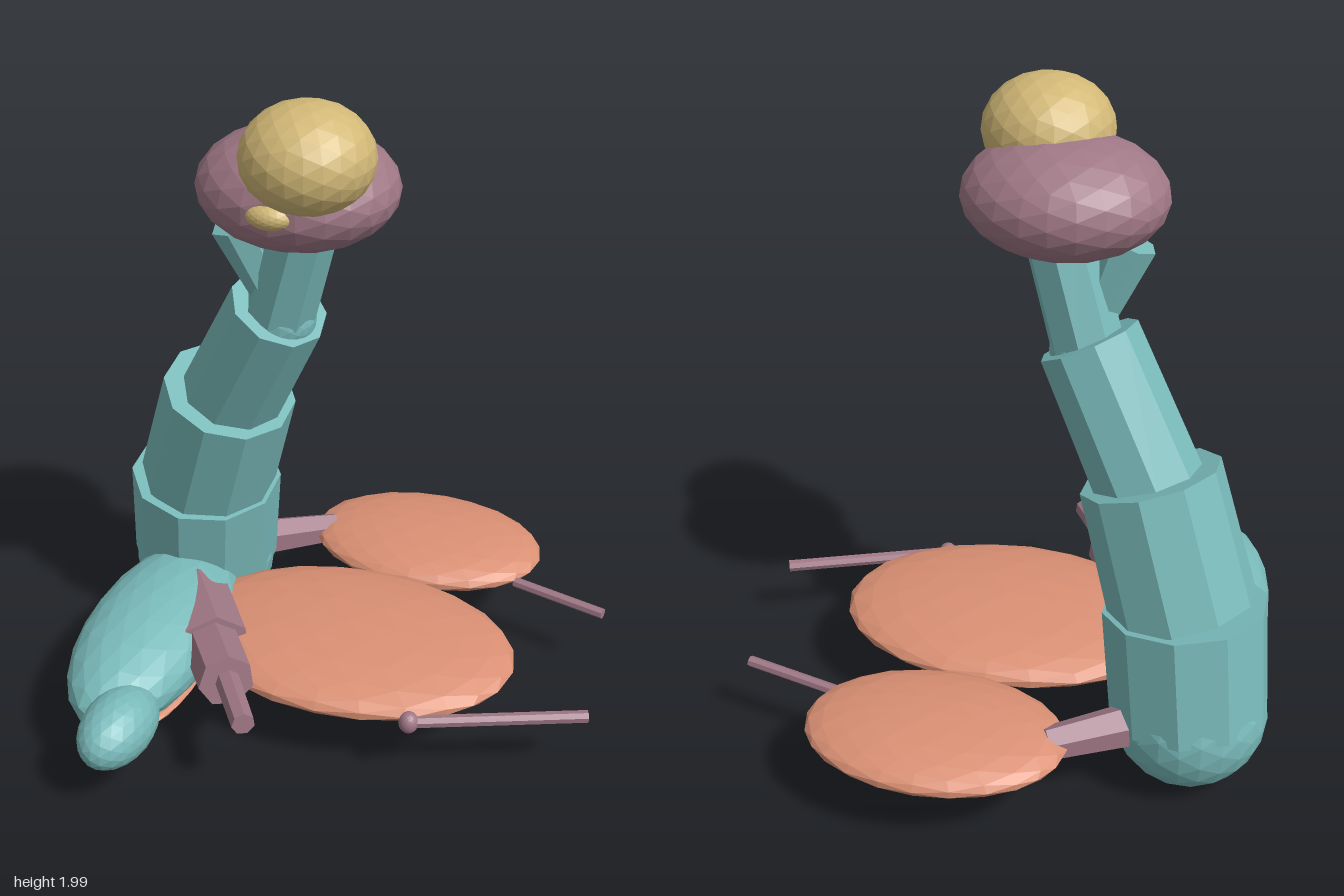
import * as THREE from 'three';

export function createModel() {
  const model = new THREE.Group();
  model.name = 'branchingStem';

  const material = (name, color) => {
    const m = new THREE.MeshStandardMaterial({ color, flatShading: true });
    m.name = name;
    return m;
  };
  const teal = material('teal', 0x7ababa);
  const mauve = material('mauve', 0xa07886);
  const ochre = material('ochre', 0xd2b877);
  const orange = material('orange', 0xda9074);

  const add = (name, geometry, mat) => {
    const mesh = new THREE.Mesh(geometry, mat);
    mesh.name = name;
    model.add(mesh);
    return mesh;
  };

  // faceted ellipsoid with its centre and three radii
  const blob = (name, mat, centre, radii, turn = 0) => {
    const mesh = add(name, new THREE.IcosahedronGeometry(1, 3), mat);
    mesh.scale.set(...radii);
    mesh.rotation.y = turn;
    mesh.position.set(...centre);
    return mesh;
  };

  // faceted limb running from one point to another
  const limb = (name, mat, from, to, r0, r1 = r0, sides = 8) => {
    const a = new THREE.Vector3(...from);
    const b = new THREE.Vector3(...to);
    const dir = b.clone().sub(a);
    const mesh = add(name, new THREE.CylinderGeometry(r1, r0, dir.length(), sides), mat);
    mesh.position.copy(a).add(b).multiplyScalar(0.5);
    mesh.quaternion.setFromUnitVectors(new THREE.Vector3(0, 1, 0), dir.normalize());
    return mesh;
  };

  // leaning trunk of stepped sections on a rounded foot
  blob('trunkFoot', teal, [-0.58, 0.24, -0.275], [0.23, 0.23, 0.23]);
  limb('trunkBase', teal, [-0.58, 0.24, -0.275], [-0.545, 0.58, -0.23], 0.235, 0.24, 10);
  limb('trunkLower', teal, [-0.54, 0.57, -0.232], [-0.42, 0.95, -0.155], 0.215, 0.205, 10);
  limb('trunkMiddle', teal, [-0.42, 0.92, -0.16], [-0.22, 1.31, -0.065], 0.158, 0.147, 9);
  blob('trunkJoint', teal, [-0.21, 1.28, -0.06], [0.1, 0.1, 0.1]);
  limb('trunkUpper', teal, [-0.215, 1.3, -0.06], [-0.115, 1.64, -0.02], 0.105, 0.1, 8);
  limb('trunkFork', teal, [-0.22, 1.33, -0.04], [-0.315, 1.59, -0.005], 0.05, 0.08, 7);

  // crown
  blob('crown', mauve, [-0.14, 1.715, -0.02], [0.285, 0.165, 0.255]);
  blob('crownTop', ochre, [-0.07, 1.85, 0.103], [0.184, 0.15, 0.184]);
  blob('crownBud', ochre, [-0.14, 1.72, 0.2], [0.07, 0.04, 0.052]);

  // low body stretching forward
  blob('body', teal, [-0.56, 0.25, 0.2], [0.212, 0.145, 0.45]);
  blob('bodyTip', teal, [-0.49, 0.24, 0.63], [0.104, 0.102, 0.16], -0.1);

  // flat pads with their stems
  blob('frontPad', orange, [0.03, 0.245, 0.05], [0.52, 0.076, 0.35]);
  blob('backPad', orange, [0.12, 0.243, -0.538], [0.386, 0.068, 0.258]);
  blob('underPad', orange, [-0.52, 0.107, 0.19], [0.112, 0.022, 0.315]);
  blob('hiddenPad', ochre, [-0.31, 0.187, -0.02], [0.12, 0.02, 0.09]);
  limb('backPadStem', mauve, [-0.5, 0.24, -0.34], [-0.2, 0.24, -0.52], 0.07, 0.05, 6);
  limb('underPadStem', mauve, [-0.48, 0.13, -0.18], [-0.48, 0.12, -0.04], 0.045, 0.045, 6);
  limb('frontPadStem', mauve, [-0.43, 0.2, -0.03], [-0.23, 0.2, 0.17], 0.02, 0.02, 6);

  // thick twig growing from the side of the body
  limb('twigCollar', mauve, [-0.5, 0.25, 0.03], [-0.345, 0.262, 0.25], 0.125, 0.12, 7);
  limb('twigBase', mauve, [-0.38, 0.27, 0.2], [-0.235, 0.3, 0.415], 0.088, 0.085, 7);
  limb('twigTip', mauve, [-0.24, 0.3, 0.4], [-0.115, 0.315, 0.59], 0.038, 0.035, 7);

  // thin twigs on the pad rims
  blob('frontTwigKnot', mauve, [0.305, 0.23, 0.345], [0.03, 0.035, 0.03]);
  limb('frontTwig', mauve, [0.3, 0.23, 0.347], [0.8, 0.23, 0.16], 0.019, 0.019, 7);
  limb('backTwig', mauve, [0.45, 0.23, -0.415], [0.755, 0.23, -0.335], 0.017, 0.017, 7);

  return model;
}
